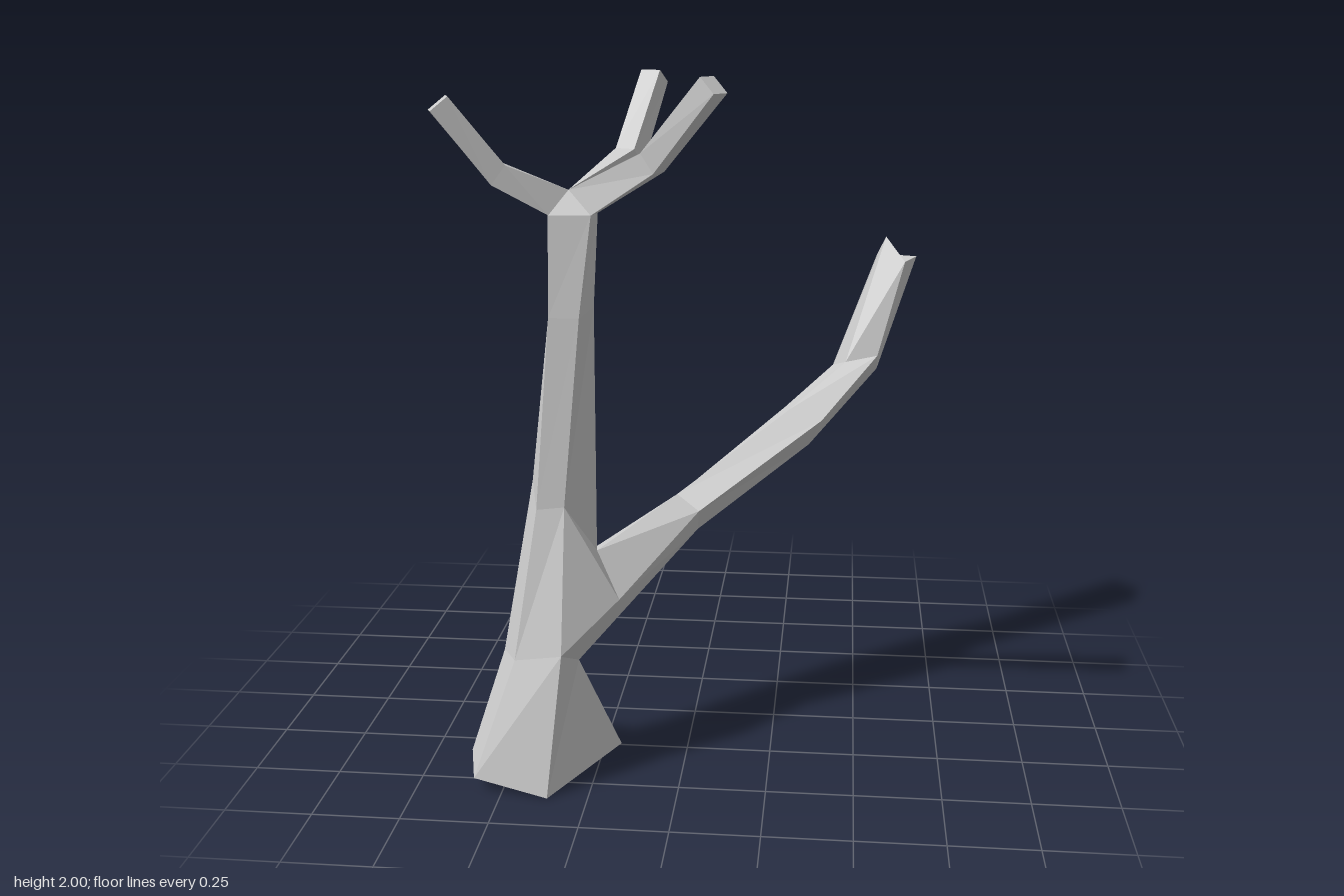
import * as THREE from 'three';

const material = new THREE.MeshStandardMaterial({
  color: 0xcccccc, flatShading: true, side: THREE.DoubleSide,
});

// Corner points shared by the trunk, the limb and the twigs.
// Trunk columns run front, right, back, left-back, left-front.
const base = [[-0.365, 0, 0.6], [-0.19, 0.04, 0.32], [-0.47, 0.07, 0.14], [-0.62, 0.05, 0.42], [-0.58, 0.04, 0.575]];
const neck = [[-0.33, 0.4, 0.52], [-0.3, 0.34, 0.4], [-0.38, 0.34, 0.31], [-0.52, 0.36, 0.39], [-0.47, 0.37, 0.49]];
const fork = [[-0.33, 0.81, 0.42], [-0.25, 0.66, 0.35], [-0.34, 0.6, 0.31], [-0.43, 0.87, 0.36], [-0.41, 0.8, 0.42]];
const upper = [[-0.28, 1.35, 0.41], [-0.25, 1.37, 0.335], [-0.3, 1.33, 0.28], [-0.38, 1.33, 0.33], [-0.365, 1.35, 0.41]];
const top = [[-0.245, 1.63, 0.395], [-0.235, 1.63, 0.335], [-0.29, 1.63, 0.285], [-0.375, 1.63, 0.33], [-0.36, 1.63, 0.4]];
const crown = [-0.31, 1.695, 0.36];
const shoulder = [-0.18, 0.53, 0.4];

// Two triangles between neighbouring columns i and j of two rings
function quad(a, b, i, j) {
  return [a[i], a[j], b[j], a[i], b[j], b[i]];
}

// Joins a list of rings into one skin
function loft(rings) {
  const tris = [];
  for (let k = 0; k < rings.length - 1; k++) {
    const n = rings[k].length;
    for (let i = 0; i < n; i++) tris.push(...quad(rings[k], rings[k + 1], i, (i + 1) % n));
  }
  return tris;
}

function makeMesh(name, tris) {
  const geometry = new THREE.BufferGeometry();
  geometry.setAttribute('position', new THREE.Float32BufferAttribute(tris.flat(), 3));
  geometry.computeVertexNormals();
  const mesh = new THREE.Mesh(geometry, material);
  mesh.name = name;
  return mesh;
}

// Four-sided ring around a centre, facing along dir
function squareRing(center, dir, size) {
  const right = new THREE.Vector3(0, 1, 0).cross(dir).normalize();
  const up = dir.clone().cross(right).normalize();
  return [[1, -1], [1, 1], [-1, 1], [-1, -1]].map(([r, u]) =>
    center.clone().addScaledVector(right, r * size / 2).addScaledVector(up, u * size / 2).toArray());
}

// Twig growing from one edge of the trunk top and bending upwards
function twig(name, from, to, mid, end) {
  const root = new THREE.Vector3(-0.31, 1.66, 0.36);
  const m = new THREE.Vector3(...mid), e = new THREE.Vector3(...end);
  const d1 = m.clone().sub(root).normalize(), d2 = e.clone().sub(m).normalize();
  const tip = squareRing(e, d2, 0.06);
  const tris = loft([[from, crown, crown, to], squareRing(m, d1.add(d2).normalize(), 0.065), tip]);
  tris.push(tip[0], tip[1], tip[2], tip[0], tip[2], tip[3]);
  return makeMesh(name, tris);
}

export function createModel() {
  const model = new THREE.Group();
  model.name = 'bareTree';

  // Flared foot, open underneath
  model.add(makeMesh('foot', loft([base, neck])));

  // Trunk, left open on the right where the limb grows out
  const trunk = loft([fork, upper, top]);
  for (const [i, j] of [[2, 3], [3, 4], [4, 0]]) trunk.push(...quad(neck, fork, i, j));
  trunk.push(neck[0], shoulder, fork[0], shoulder, fork[1], fork[0], neck[0], neck[1], shoulder);
  trunk.push(top[4], top[0], crown, top[2], top[3], crown);
  model.add(makeMesh('trunk', trunk));

  // Long side limb: top, front, lower front, lower back, back columns
  model.add(makeMesh('sideLimb', loft([
    [fork[1], shoulder, neck[1], neck[2], fork[2]],
    [[-0.05, 0.74, 0.05], [0.02, 0.7, 0.09], [0.01, 0.62, 0.02], [-0.04, 0.6, -0.04], [-0.07, 0.7, -0.03]],
    [[0.28, 0.95, -0.2], [0.38, 0.92, -0.18], [0.34, 0.82, -0.26], [0.3, 0.82, -0.29], [0.26, 0.93, -0.3]],
    [[0.45, 1.08, -0.31], [0.55, 1.1, -0.32], [0.55, 1.04, -0.4], [0.5, 1.08, -0.5], [0.41, 1.05, -0.4]],
    [[0.57, 1.46, -0.46], [0.63, 1.39, -0.39], [0.67, 1.39, -0.51], [0.6, 1.38, -0.6], [0.545, 1.39, -0.55]],
  ])));

  // Three twigs around the crown
  model.add(twig('rightTwig', top[4], top[3], [-0.495, 1.74, 0.405], [-0.637, 1.93, 0.457]));
  model.add(twig('leftTwig', top[1], top[0], [-0.075, 1.775, 0.41], [0.097, 1.983, 0.515]));
  model.add(twig('backTwig', top[2], top[1], [-0.17, 1.765, 0.16], [-0.115, 1.983, 0.015]));

  return model;
}
